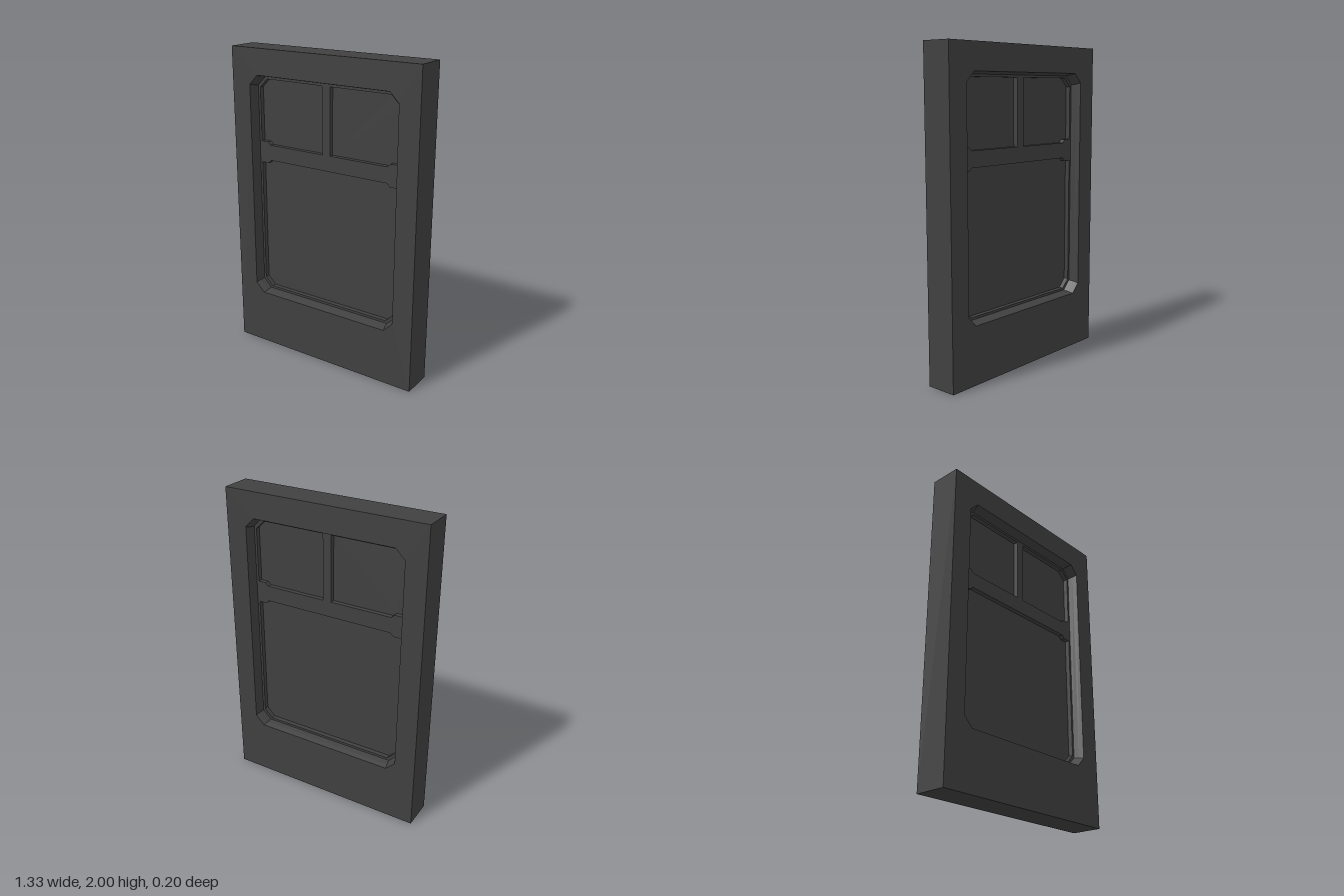
import * as THREE from 'three';

const material = new THREE.MeshStandardMaterial({ color: 0x404040, flatShading: true });
const HALF = 0.1;    // half thickness of the wall
const FRAME = 0.035; // half thickness of the window frame
const GLASS = 0.005; // half thickness of the panes

const rectangle = [[-0.665, 0], [0.665, 0], [0.665, 2], [-0.665, 2]];

// Rectangle with cut corners, counter-clockwise
function octagon(hx, y0, y1, c) {
  return [[-hx + c, y0], [hx - c, y0], [hx, y0 + c], [hx, y1 - c],
    [hx - c, y1], [-hx + c, y1], [-hx, y1 - c], [-hx, y0 + c]];
}

const toPoints = (pts) => pts.map(([x, y]) => new THREE.Vector2(x, y));

function shapeOf(outline, holes = []) {
  const shape = new THREE.Shape(toPoints(outline));
  shape.holes = holes.map((h) => new THREE.Path(toPoints(h)));
  return shape;
}

function slab(shape, half) {
  return new THREE.ExtrudeGeometry(shape, { depth: 2 * half, bevelEnabled: false })
    .translate(0, 0, -half);
}

// Skin between successive outlines, each given as { pts, z }
function loft(rings) {
  const position = [];
  for (let r = 0; r < rings.length - 1; r++) {
    const a = rings[r], b = rings[r + 1], n = a.pts.length;
    for (let i = 0; i < n; i++) {
      const j = (i + 1) % n;
      const a0 = [...a.pts[i], a.z], a1 = [...a.pts[j], a.z];
      const b0 = [...b.pts[i], b.z], b1 = [...b.pts[j], b.z];
      position.push(...a0, ...a1, ...b0, ...a1, ...b1, ...b0);
    }
  }
  const geometry = new THREE.BufferGeometry();
  geometry.setAttribute('position', new THREE.Float32BufferAttribute(position, 3));
  geometry.computeVertexNormals();
  return geometry;
}

export function createModel() {
  const group = new THREE.Group();
  const add = (name, geometry, parent = group) => {
    const mesh = new THREE.Mesh(geometry, material);
    mesh.name = name;
    parent.add(mesh);
  };

  const opening = octagon(0.53, 0.365, 1.835, 0.06);
  const middle = octagon(0.522, 0.373, 1.827, 0.06);
  const frameEdge = octagon(0.515, 0.38, 1.82, 0.058);

  // Outer edges of the wall
  add('wallEdges', loft([{ pts: rectangle, z: -HALF }, { pts: rectangle, z: HALF }]));

  // Wall face and stepped reveal, same on both sides
  const face = new THREE.ShapeGeometry(shapeOf(rectangle, [opening])).translate(0, 0, HALF);
  const reveal = loft([
    { pts: opening, z: HALF },
    { pts: middle, z: 0.07 },
    { pts: frameEdge, z: FRAME },
  ]);
  for (const [name, turn] of [['front', 0], ['back', Math.PI]]) {
    const side = new THREE.Group();
    side.name = name + 'Side';
    side.rotation.y = turn;
    add(name + 'WallFace', face, side);
    add(name + 'Reveal', reveal, side);
    group.add(side);
  }

  // Pane outlines: one large below, two small above
  const upperLeft = [[0.028, 1.385], [0.43, 1.385], [0.45, 1.405], [0.5, 1.405],
    [0.5, 1.75], [0.445, 1.805], [0.028, 1.805]];
  const upperRight = upperLeft.map(([x, y]) => [-x, y]).reverse();
  const lowerHalf = [[0.445, 0.395], [0.5, 0.45], [0.5, 1.265], [0.45, 1.265], [0.43, 1.285]];
  const lower = [...lowerHalf, ...lowerHalf.map(([x, y]) => [-x, y]).reverse()];
  const panes = { lowerPane: lower, upperLeftPane: upperLeft, upperRightPane: upperRight };

  // Frame with crossbar and mullion, then the glass
  add('windowFrame', slab(shapeOf(frameEdge, Object.values(panes)), FRAME));
  for (const [name, outline] of Object.entries(panes)) add(name, slab(shapeOf(outline), GLASS));

  return group;
}
